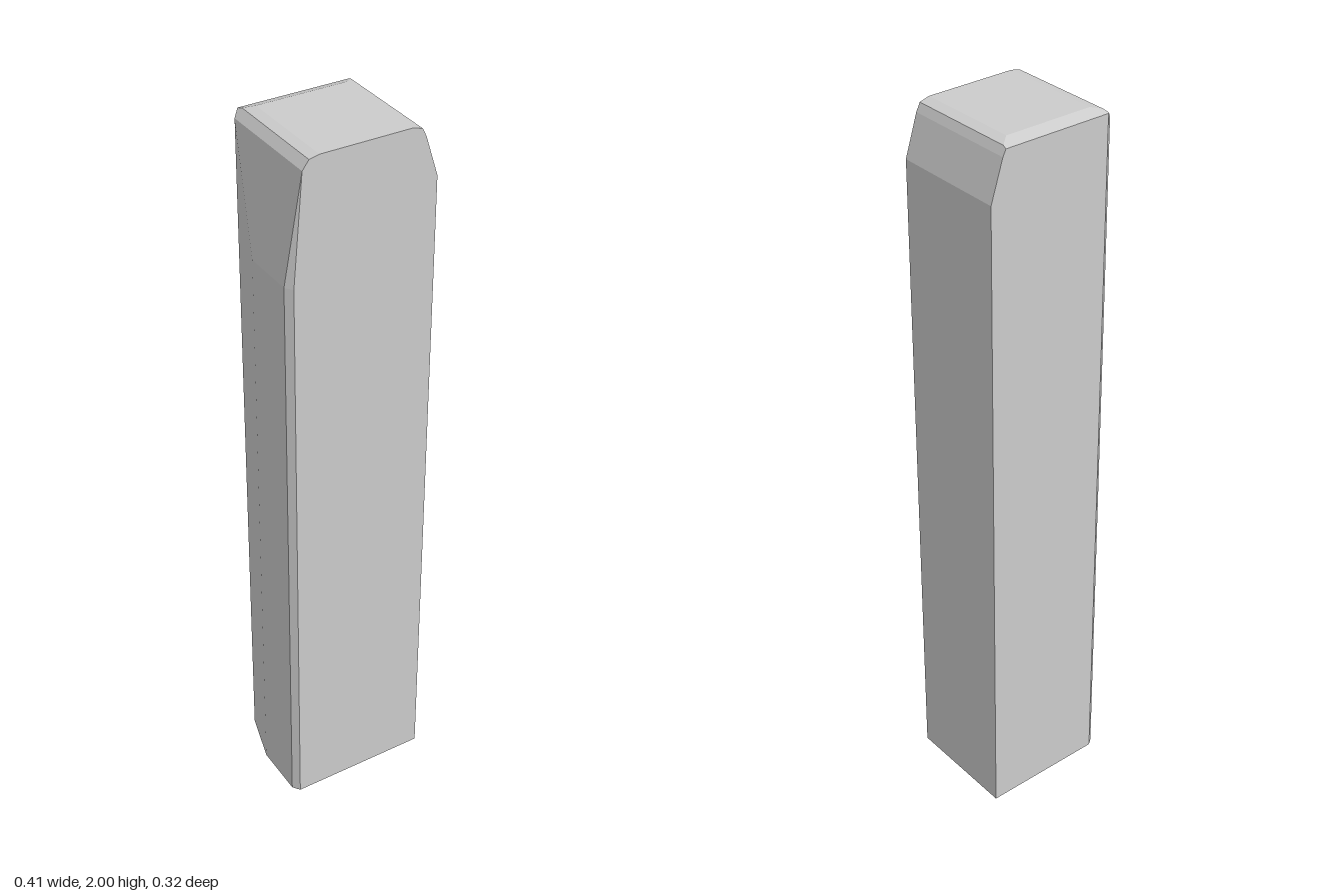
import * as THREE from 'three';
import { ConvexGeometry } from 'three/addons/geometries/ConvexGeometry.js';

const v = (x, y, z) => new THREE.Vector3(x, y, z);
// Cutting plane from an outward normal and a point on it
const cut = (normal, point) =>
  new THREE.Plane().setFromNormalAndCoplanarPoint(normal.normalize(), point);

// Solid left after trimming by all planes: its corners are plane triples lying inside the rest
function trimmedSolid(planes) {
  const corners = [];
  const n = planes.length;
  for (let i = 0; i < n; i++) for (let j = i + 1; j < n; j++) for (let k = j + 1; k < n; k++) {
    const [a, b, c] = [planes[i], planes[j], planes[k]];
    const bc = b.normal.clone().cross(c.normal);
    const det = a.normal.dot(bc);
    if (Math.abs(det) < 1e-6) continue;
    const p = bc.multiplyScalar(-a.constant)
      .addScaledVector(c.normal.clone().cross(a.normal), -b.constant)
      .addScaledVector(a.normal.clone().cross(b.normal), -c.constant)
      .divideScalar(det);
    if (planes.some(q => q.distanceToPoint(p) > 1e-5)) continue;
    if (!corners.some(q => q.distanceTo(p) < 3e-4)) corners.push(p);
  }
  return new ConvexGeometry(corners);
}

export function createModel() {
  const planes = [
    // Square block
    cut(v(1, 0, 0), v(0.203, 0, 0)),
    cut(v(-1, 0, 0), v(-0.205, 0, 0)),
    cut(v(0, 1, 0), v(0, 2, 0)),
    cut(v(0, -1, 0), v(0, 0, 0)),
    cut(v(0, 0, 1), v(0, 0, 0.16)),
    cut(v(0, 0, -1), v(0, 0, -0.163)),
    // Upright cuts: long rear taper, rear corner, front corner
    cut(v(-0.14, 0, -0.04), v(-0.205, 0, -0.01)),
    cut(v(-0.013, 0, -0.017), v(-0.165, 0, -0.15)),
    cut(v(-0.02, 0, 0.015), v(-0.205, 0, 0.14)),
    // Front corner cut narrowing toward the top
    cut(v(-12, 1, 9), v(-0.205, 1.67, 0.14)),
    // Bevel along the back of the top
    cut(v(0, 0.035, -0.012), v(0, 2, -0.128)),
  ];
  // Sloping shoulders and rounded top edges, from outline points in x, y
  const shoulders = [
    [[-0.205, 1.67], [-0.165, 1.97], [-0.147, 1.994], [-0.12, 2]],
    [[0.203, 1.86], [0.168, 1.97], [0.157, 1.992], [0.13, 2]],
  ];
  for (const line of shoulders) {
    const side = Math.sign(line[0][0]);
    for (let i = 0; i < line.length - 1; i++) {
      const [x0, y0] = line[i], [x1, y1] = line[i + 1];
      planes.push(cut(v(side * (y1 - y0), Math.abs(x1 - x0), 0), v(x0, y0, 0)));
    }
  }

  const post = new THREE.Mesh(
    trimmedSolid(planes),
    new THREE.MeshStandardMaterial({ color: 0xcccccc, flatShading: true })
  );
  post.name = 'stonePost';
  const group = new THREE.Group();
  group.name = 'post';
  group.add(post);
  return group;
}
